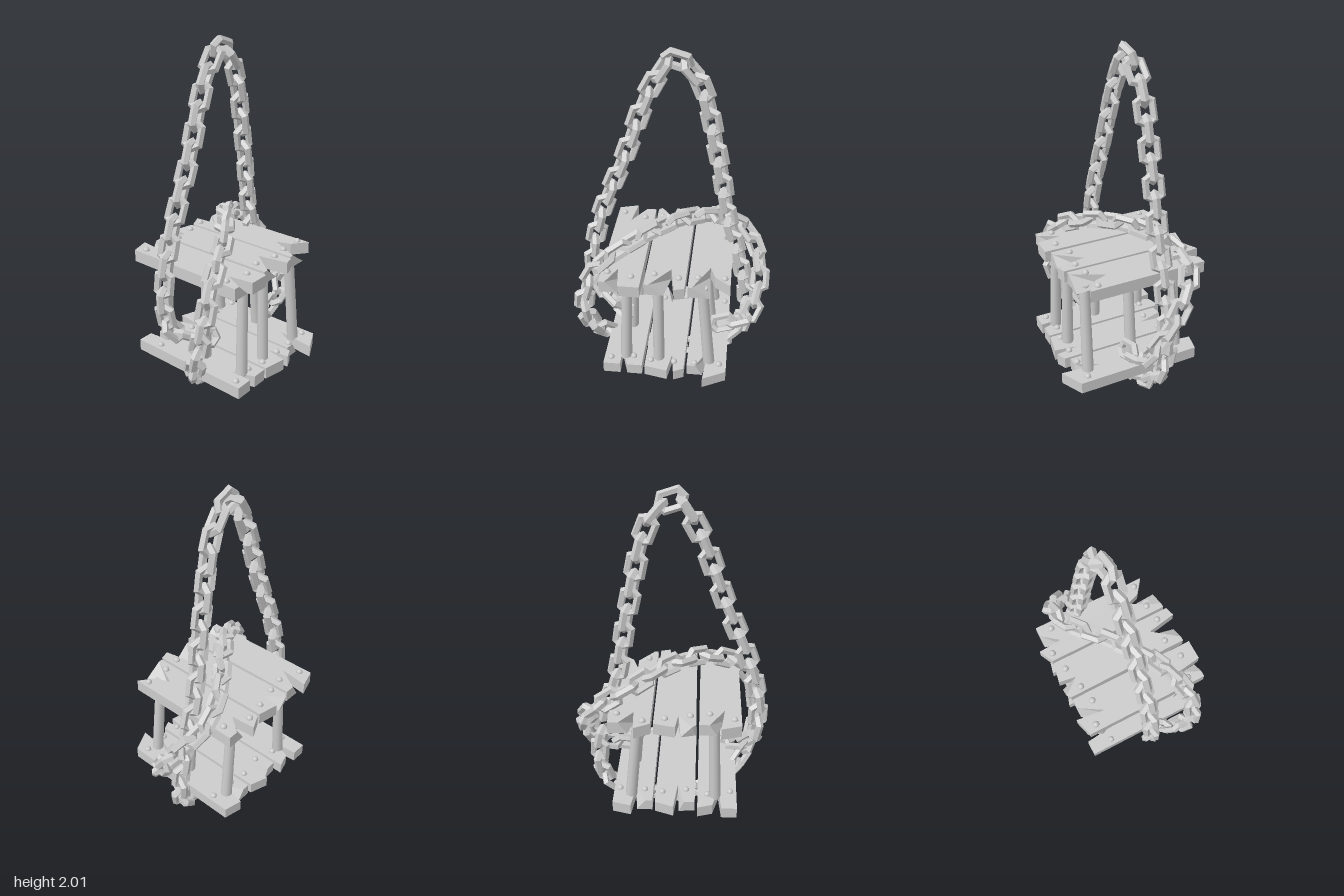
import * as THREE from 'three';

const grey = new THREE.MeshStandardMaterial({ color: 0xcccccc, flatShading: true });
const smooth = new THREE.MeshStandardMaterial({ color: 0xcccccc });
const THICK = 0.068;

function add(parent, name, geometry, material = grey) {
  const mesh = new THREE.Mesh(geometry, material);
  mesh.name = name;
  parent.add(mesh);
  return mesh;
}

// Plank from its two split ends, each a list of [x, z, shift] from back to front;
// the shift moves the top corner in z, so the split gets a sloping wall
function plank(left, right) {
  const pts = [...right, ...left.slice().reverse()];
  const shape = new THREE.Shape(pts.map(([x, z]) => new THREE.Vector2(x, z)));
  const geo = new THREE.ExtrudeGeometry(shape, { depth: THICK, bevelEnabled: false });
  geo.rotateX(Math.PI / 2); // shape y becomes z, thickness hangs below y = 0
  const pos = geo.attributes.position;
  for (let i = 0; i < pos.count; i++) {
    if (pos.getY(i) < -0.01) continue;
    const hit = pts.find(([x, z]) => Math.hypot(x - pos.getX(i), z - pos.getZ(i)) < 1e-4);
    if (hit && hit[2]) pos.setZ(i, hit[1] + hit[2]);
  }
  geo.computeVertexNormals();
  return geo;
}

// Split ends of the planks, back to front: [left end, right end]
const roofPlanks = [
  [[[-0.385, -0.325], [-0.385, -0.22, -0.05], [-0.29, -0.195], [-0.427, -0.185], [-0.385, -0.1]],
    [[0.3, -0.325], [0.235, -0.24], [0.155, -0.212], [0.333, -0.222, 0.1], [0.333, -0.1]]],
  [[[-0.385, -0.085], [-0.41, 0.03], [-0.31, 0.045], [-0.405, 0.06, 0.06], [-0.385, 0.14]],
    [[0.345, -0.085], [0.36, -0.03], [0.19, 0.0], [0.333, 0.03, 0.08], [0.333, 0.135]]],
  [[[-0.385, 0.155], [-0.385, 0.25, -0.04], [-0.255, 0.29], [-0.418, 0.27], [-0.385, 0.378]],
    [[0.36, 0.155], [0.36, 0.27], [0.215, 0.29], [0.333, 0.275, 0.07], [0.333, 0.378]]],
];
const floorPlanks = [
  [[[-0.36, -0.325], [-0.385, -0.22], [-0.23, -0.2], [-0.34, -0.19, 0.05], [-0.34, -0.1]],
    [[0.36, -0.325], [0.425, -0.195], [0.2, -0.215], [0.333, -0.19, 0.04], [0.333, -0.1]]],
  [[[-0.35, -0.085], [-0.385, 0.02], [-0.2, 0.04], [-0.345, 0.05, 0.03], [-0.34, 0.14]],
    [[0.36, -0.085], [0.385, -0.03], [0.26, -0.01], [0.385, 0.01], [0.36, 0.14]]],
  [[[-0.385, 0.155], [-0.36, 0.24], [-0.24, 0.275], [-0.385, 0.29], [-0.385, 0.378]],
    [[0.36, 0.155], [0.36, 0.24], [0.23, 0.285], [0.36, 0.28], [0.36, 0.378]]],
];

const rivetSpots = [
  [-0.306, -0.283], [-0.365, -0.143], [-0.34, -0.026], [-0.31, 0.108], [-0.29, 0.21], [-0.333, 0.34],
  [0.242, -0.292], [0.248, -0.149], [0.263, -0.047], [0.24, 0.088], [0.275, 0.21], [0.248, 0.342],
];

// Platform: three planks with domed rivets, its top at height y
function platform(name, planks, y, mirror, maxRivetX) {
  const group = new THREE.Group();
  group.name = name;
  group.position.y = y;
  for (const [left, right] of planks) add(group, 'plank', plank(left, right));
  const dome = new THREE.SphereGeometry(0.019, 10, 4, 0, Math.PI * 2, 0, Math.PI / 2);
  for (const [x, z] of rivetSpots) {
    const rivetX = THREE.MathUtils.clamp(x * mirror, -maxRivetX, maxRivetX);
    add(group, 'rivet', dome, smooth).position.set(rivetX, 0, z);
  }
  return group;
}

// Round post between two points
function post(parent, a, b) {
  const from = new THREE.Vector3(...a), to = new THREE.Vector3(...b);
  const mesh = add(parent, 'post', new THREE.CylinderGeometry(0.029, 0.033, from.distanceTo(to), 10), smooth);
  mesh.position.lerpVectors(from, to, 0.5);
  mesh.quaternion.setFromUnitVectors(new THREE.Vector3(0, 1, 0), to.sub(from).normalize());
}

// Links threaded along a path, every second one turned a quarter
function chain(points, pitch) {
  const group = new THREE.Group();
  group.name = 'chain';
  const curve = new THREE.CatmullRomCurve3(points.map((p) => new THREE.Vector3(...p)), false, 'centripetal');
  curve.arcLengthDivisions = 600;
  const link = new THREE.TorusGeometry(0.046, 0.0225, 5, 6);
  link.rotateZ(Math.PI / 6);
  // stretch along the chain while keeping the wire thickness at the ends
  const pos = link.attributes.position;
  for (let i = 0; i < pos.count; i++) {
    const y = pos.getY(i);
    if (Math.abs(y) > 0.001) pos.setY(i, y + Math.sign(y) * 0.021);
  }
  const count = Math.round(curve.getLength() / pitch);
  for (let i = 0; i <= count; i++) {
    const t = curve.getTangentAt(i / count);
    const face = new THREE.Vector3(1, 0, 0).addScaledVector(t, -t.x).normalize();
    const side = new THREE.Vector3().crossVectors(t, face);
    const mesh = add(group, 'link', link);
    mesh.quaternion.setFromRotationMatrix(new THREE.Matrix4().makeBasis(side, t, face));
    mesh.rotateY((i % 2) * Math.PI / 2 + 0.3);
    mesh.position.copy(curve.getPointAt(i / count));
  }
  return group;
}

export function createModel() {
  const model = new THREE.Group();
  model.name = 'chainedCage';

  model.add(platform('roof', roofPlanks, 0.85, 1, 0.4));
  model.add(platform('floor', floorPlanks, 0.27, -1, 0.31));

  // Posts lean inwards: [x, z at the floor, z at the roof]
  for (const [x, z0, z1] of [
    [-0.28, 0.255, 0.235], [0.02, 0.255, 0.235], [0.28, 0.255, 0.235], [0.28, 0.065, 0.065],
    [-0.28, -0.225, -0.175], [0.01, -0.225, -0.175], [0.28, -0.225, -0.175],
  ]) {
    post(model, [x, 0.26, z0], [x * 0.96, 0.8, z1]);
  }

  model.add(chain([
    // from inside the cage, out of the front and up to the apex
    [0.06, 0.43, 0.3], [0.0, 0.45, 0.38], [-0.05, 0.53, 0.46], [-0.06, 0.7, 0.485], [-0.06, 1.0, 0.43],
    [-0.06, 1.4, 0.275], [-0.07, 1.8, 0.125], [-0.07, 1.94, 0.02],
    // down the back and under the floor
    [-0.08, 1.85, -0.1], [-0.1, 1.4, -0.22], [-0.115, 1.0, -0.29], [-0.12, 0.7, -0.37],
    [-0.11, 0.4, -0.42], [-0.075, 0.19, -0.37], [-0.05, 0.09, -0.19], [-0.04, 0.06, 0.0], [-0.02, 0.12, 0.22],
    // up the front and across the roof
    [0.06, 0.24, 0.39], [0.15, 0.39, 0.475], [0.215, 0.62, 0.49], [0.205, 0.84, 0.41], [0.11, 0.97, 0.21],
    [-0.05, 1.01, 0.0], [-0.2, 0.96, -0.2],
    // around the back and into the cage
    [-0.25, 0.87, -0.37], [-0.17, 0.73, -0.47], [-0.05, 0.55, -0.485], [0.04, 0.4, -0.42], [0.06, 0.37, -0.29],
  ], 0.098));

  return model;
}
